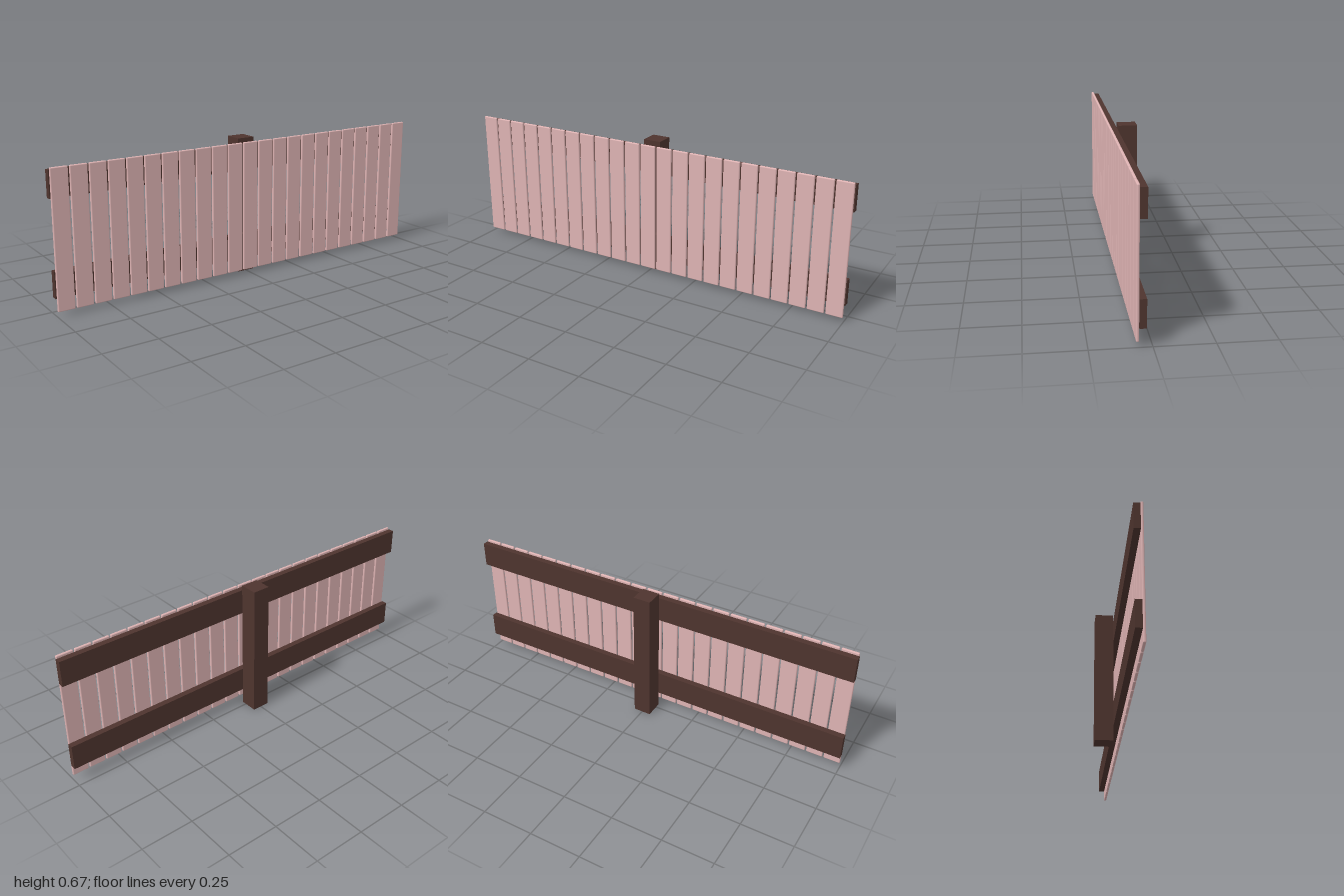
import * as THREE from 'three';
import { RoundedBoxGeometry } from 'three/addons/geometries/RoundedBoxGeometry.js';

export function createModel() {
  const group = new THREE.Group();
  const pink = new THREE.MeshStandardMaterial({ color: 0xdeb3b3 });
  const brown = new THREE.MeshStandardMaterial({ color: 0x4e342e });

  function add(name, geometry, material, x, y, z) {
    const mesh = new THREE.Mesh(geometry, material);
    mesh.name = name;
    mesh.position.set(x, y, z);
    group.add(mesh);
  }

  // Upright post behind the fence
  add('post', new THREE.BoxGeometry(0.087, 0.665, 0.088), brown, 0, 0.3325, -0.021);

  // Two horizontal rails joining the planks
  const railGeometry = new THREE.BoxGeometry(2, 0.122, 0.029);
  add('lowerRail', railGeometry, brown, 0, 0.139, 0.0385);
  add('upperRail', railGeometry, brown, 0, 0.579, 0.0385);

  // Row of softly rounded vertical planks
  const count = 23;
  const pitch = 2 / count;
  const plankGeometry = new RoundedBoxGeometry(pitch - 0.007, 0.632, 0.0125, 3, 0.005);
  for (let i = 0; i < count; i++) {
    add('plank' + (i + 1), plankGeometry, pink, (i - (count - 1) / 2) * pitch, 0.336, 0.0592);
  }

  return group;
}
